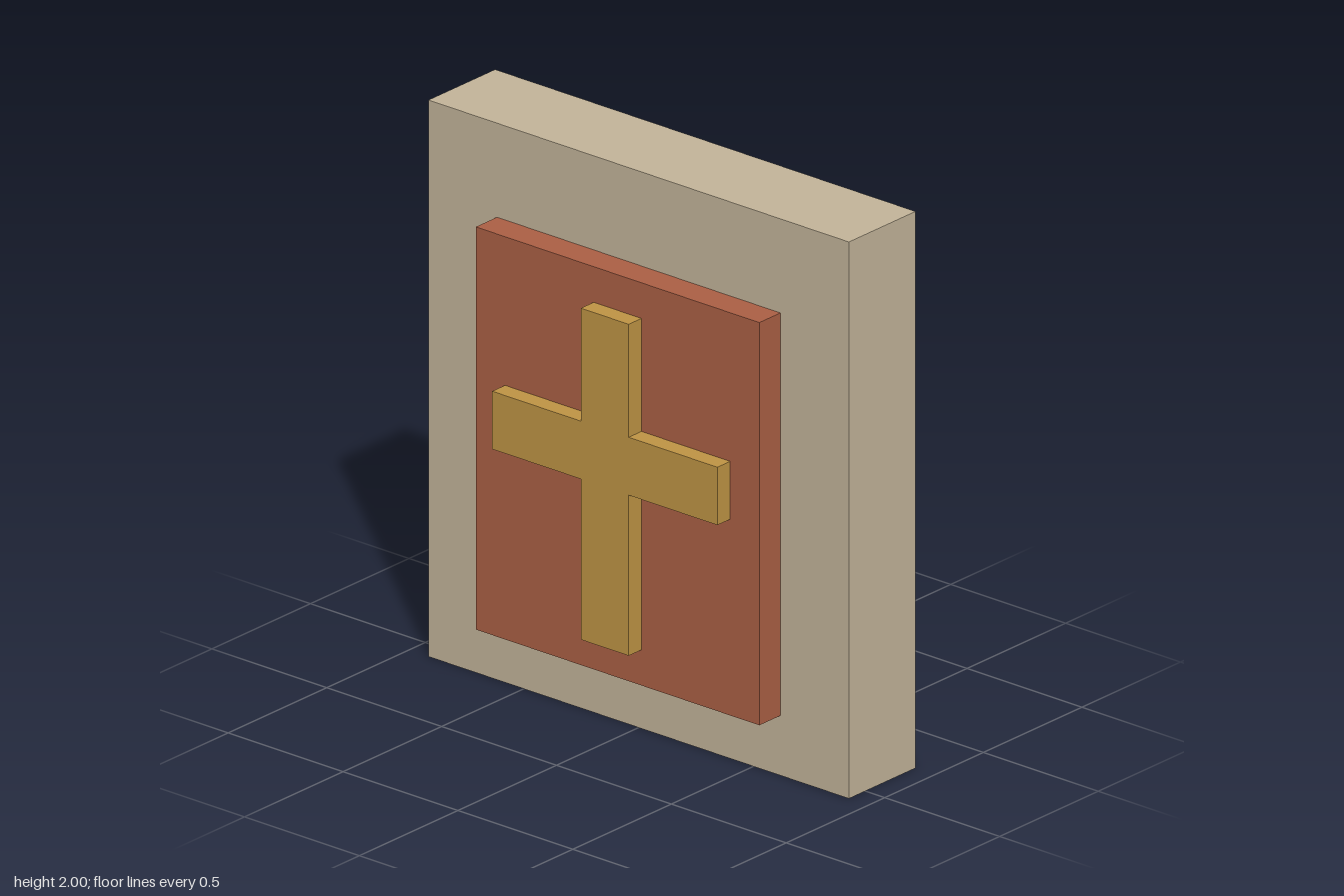
import * as THREE from 'three';

function material(name, color) {
  const m = new THREE.MeshStandardMaterial({ color });
  m.name = name;
  return m;
}

// Box given by its lower and upper corners
function block(name, [x0, y0, z0], [x1, y1, z1], mat) {
  const mesh = new THREE.Mesh(new THREE.BoxGeometry(x1 - x0, y1 - y0, z1 - z0), mat);
  mesh.position.set((x0 + x1) / 2, (y0 + y1) / 2, (z0 + z1) / 2);
  mesh.name = name;
  return mesh;
}

export function createModel() {
  const stone = material('sandstone', 0xc4b59a);
  const red = material('brick red', 0xac6045);
  const gold = material('old gold', 0xc09545);

  const model = new THREE.Group();
  model.name = 'wallPlaque';

  // Thick backing slab and raised panel
  model.add(block('backingSlab', [-0.915, 0, -0.255], [0.915, 2, 0.083], stone));
  model.add(block('raisedPanel', [-0.617, 0.215, 0.083], [0.617, 1.662, 0.19], red));

  // Cross: one outline, extruded forward from the panel
  const w = 0.104, arm = 0.49;
  const bottom = 0.343, low = 0.92, high = 1.128, top = 1.534;
  const outline = [
    [-w, bottom], [w, bottom], [w, low], [arm, low], [arm, high], [w, high],
    [w, top], [-w, top], [-w, high], [-arm, high], [-arm, low], [-w, low],
  ].map(([x, y]) => new THREE.Vector2(x, y));
  const cross = new THREE.Mesh(
    new THREE.ExtrudeGeometry(new THREE.Shape(outline), { depth: 0.065, bevelEnabled: false }),
    gold
  );
  cross.position.z = 0.19;
  cross.name = 'cross';
  model.add(cross);

  return model;
}
